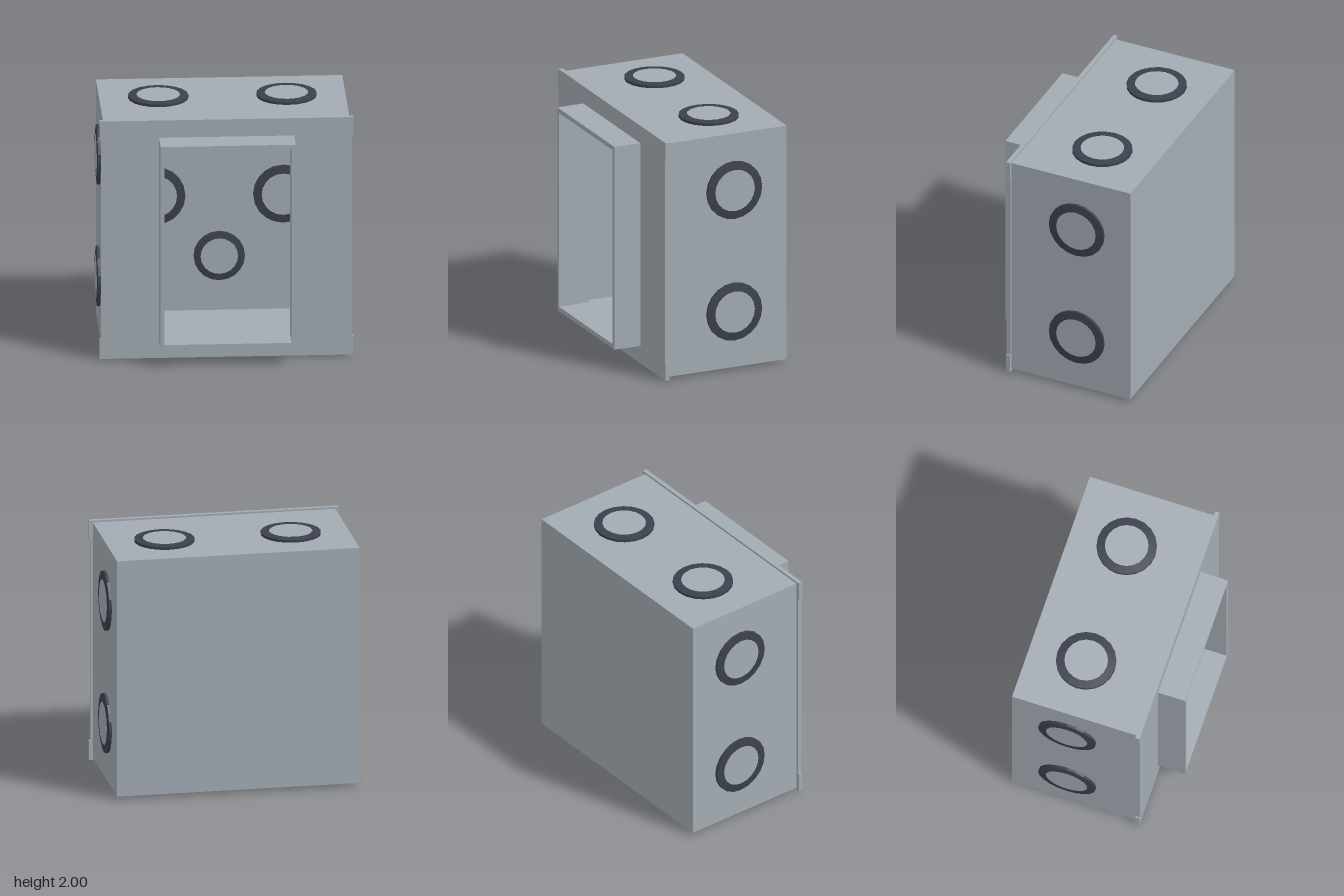
import * as THREE from 'three';

const steel = new THREE.MeshStandardMaterial({ color: 0xa3abb3 });
steel.name = 'galvanised grey';
const dark = new THREE.MeshStandardMaterial({ color: 0x3b404d });
dark.name = 'knockout dark';

const CY = 1.0; // height of the box centre

function mesh(name, geometry, material) {
  const m = new THREE.Mesh(geometry, material);
  m.name = name;
  return m;
}

const rect = (Type, x0, x1, y0, y1) => new Type([
  new THREE.Vector2(x0, y0), new THREE.Vector2(x1, y0),
  new THREE.Vector2(x1, y1), new THREE.Vector2(x0, y1),
]);

// Extrude an outline with a rectangular hole between two z positions
function frame(name, outline, hole, z0, z1) {
  outline.holes.push(rect(THREE.Path, ...hole));
  const g = new THREE.ExtrudeGeometry(outline, { depth: z1 - z0, bevelEnabled: false });
  g.translate(0, 0, z0);
  return mesh(name, g, steel);
}

// Dark ring with a gently sloped face around a grey disc, facing +z
function knockout(name, outer, inner) {
  const group = new THREE.Group();
  group.name = name;
  const profile = [[outer, 0], [outer, 0.021], [inner, 0.028], [inner, 0.02]]
    .map(([r, h]) => new THREE.Vector2(r, h));
  const ring = new THREE.LatheGeometry(profile, 20).toNonIndexed();
  ring.computeVertexNormals();
  ring.rotateX(Math.PI / 2);
  const disc = new THREE.CircleGeometry(inner, 20);
  disc.rotateZ(Math.PI / 2);
  disc.translate(0, 0, 0.026);
  group.add(mesh('knockoutRing', ring, dark), mesh('knockoutDisc', disc, steel));
  return group;
}

export function createModel() {
  const model = new THREE.Group();
  model.name = 'electricalBox';

  // Thin-walled box, open at the front
  model.add(frame('boxWalls', rect(THREE.Shape, -0.97, 0.97, 0.03, 1.97),
    [-0.96, 0.96, 0.04, 1.96], -0.645, 0.385));
  const back = mesh('backPanel', new THREE.BoxGeometry(1.92, 1.92, 0.01), steel);
  back.position.set(0, CY, -0.64);
  model.add(back);

  // Cover plate with corner tabs
  const plate = new THREE.Shape([
    [-1, 0.012], [1, 0.012], [1, 0.17], [0.988, 0.17], [0.988, 1.83], [1, 1.83],
    [1, 1.986], [-1, 1.986], [-1, 1.83], [-0.988, 1.83], [-0.988, 0.17], [-1, 0.17],
  ].map(([x, y]) => new THREE.Vector2(x, y)));
  model.add(frame('coverPlate', plate, [-0.5, 0.5, 0.195, 1.805], 0.385, 0.42));

  // Raised collar around the opening
  model.add(frame('collar', rect(THREE.Shape, -0.532, 0.532, 0.157, 1.842),
    [-0.5, 0.5, 0.195, 1.805], 0.42, 0.645));

  // Knockouts on the four outer sides, two per side
  for (const s of [-1, 1]) {
    for (const t of [-1, 1]) {
      const side = knockout('sideKnockout', 0.238, 0.172);
      side.rotation.y = s * Math.PI / 2;
      side.position.set(s * 0.97, CY + t * 0.505, -0.185);
      const end = knockout(s > 0 ? 'topKnockout' : 'bottomKnockout', 0.238, 0.172);
      end.rotation.x = -s * Math.PI / 2;
      end.position.set(t * 0.505, CY + s * 0.97, -0.185);
      model.add(side, end);
    }
    // Pair inside on the back panel
    const inside = knockout('backKnockout', 0.238, 0.172);
    inside.position.set(s * 0.505, CY, -0.635);
    model.add(inside);
  }
  const lower = knockout('lowerBackKnockout', 0.202, 0.148);
  lower.position.set(0, 0.495, -0.635);
  model.add(lower);

  // Hexagonal grounding screw on the back panel
  const screwShape = new THREE.CylinderGeometry(0.078, 0.078, 0.03, 6);
  screwShape.rotateX(Math.PI / 2);
  const screw = mesh('groundScrew', screwShape, steel);
  screw.position.set(0, 1.465, -0.62);
  model.add(screw);

  // Rest the lowest point on the ground
  model.position.y = -0.002;
  return model;
}
